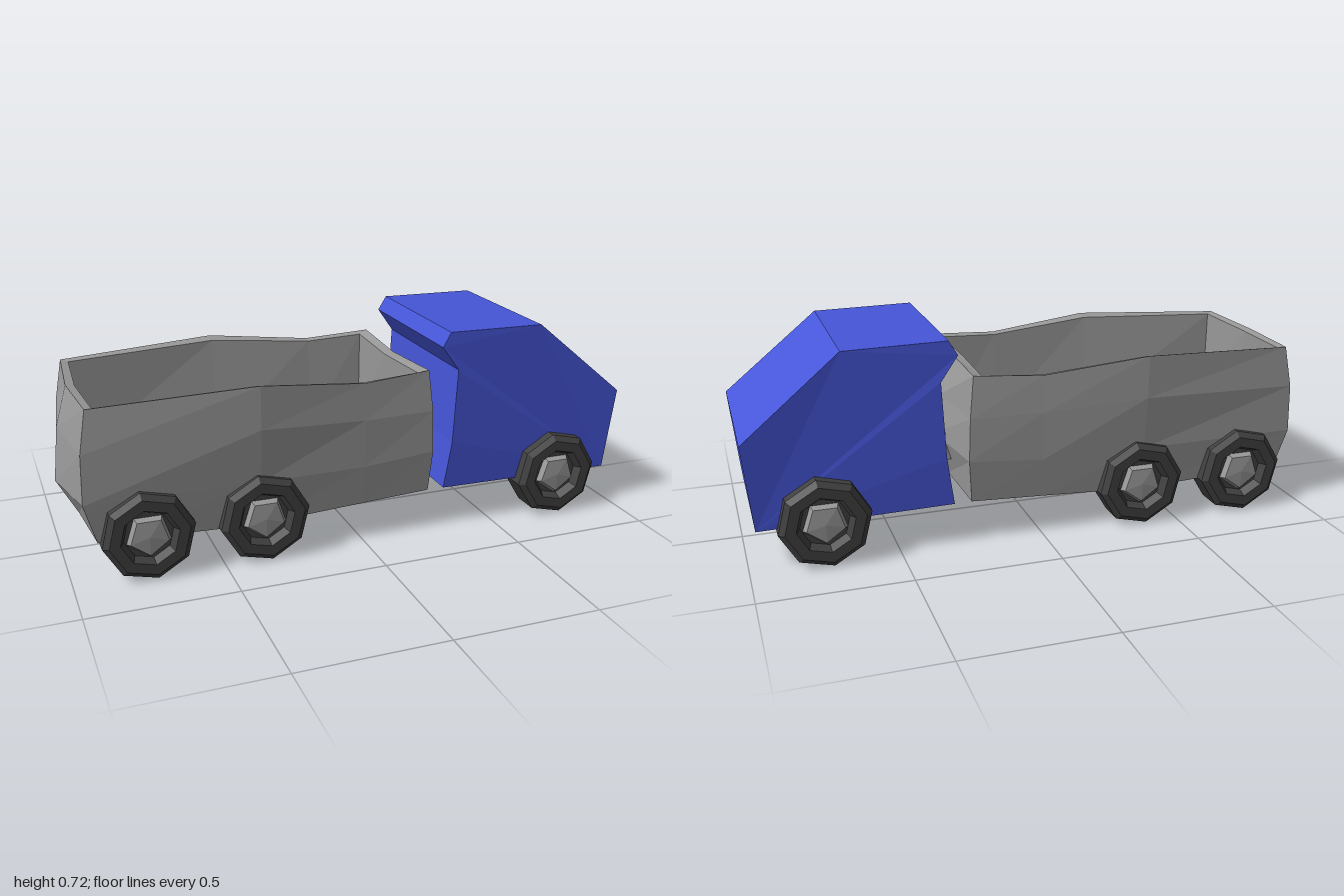
import * as THREE from 'three';

const mat = (color) => new THREE.MeshStandardMaterial({ color, flatShading: true });

function addMesh(parent, name, geometry, material) {
  const mesh = new THREE.Mesh(geometry, material);
  mesh.name = name;
  parent.add(mesh);
  return mesh;
}

// Skin a stack of closed rings and cap both ends
function loft(rings) {
  const n = rings[0].length;
  const pos = [];
  const tri = (...pts) => pts.forEach((p) => pos.push(p.x, p.y, p.z));
  const centre = (ring) =>
    ring.reduce((s, p) => s.add(p), new THREE.Vector3()).divideScalar(n);
  const bottom = rings[0], top = rings[rings.length - 1];
  const cb = centre(bottom), ct = centre(top);
  for (let i = 0; i < n; i++) {
    const k = (i + 1) % n;
    for (let j = 0; j < rings.length - 1; j++) {
      const lo = rings[j], hi = rings[j + 1];
      tri(lo[i], lo[k], hi[k]);
      tri(lo[i], hi[k], hi[i]);
    }
    tri(bottom[k], bottom[i], cb);
    tri(top[i], top[k], ct);
  }
  const g = new THREE.BufferGeometry();
  g.setAttribute('position', new THREE.Float32BufferAttribute(pos, 3));
  g.computeVertexNormals();
  return g;
}

// One level of the bed: x and z of corners and bulges, heights from rear to front
function bedRing([rear, rearMid, front, frontMid], [zc, zm, z0], [yr, ym, y0, yf, yrm, yfm]) {
  const side = [[rear, yr, zc], [-0.37, ym, zm], [0, y0, z0], [front, yf, zc]];
  const mirrored = side.map(([x, y, z]) => [x, y, -z]).reverse();
  return [...side, [frontMid, yfm, 0], ...mirrored, [rearMid, yrm, 0]]
    .map((p) => new THREE.Vector3(...p));
}

function buildBed() {
  return loft([
    bedRing([-0.91, -0.93, 0.25, 0.26], [0.28, 0.285, 0.285], [0.14, 0.12, 0.14, 0.15, 0.13, 0.15]),
    bedRing([-0.95, -1.0, 0.26, 0.31], [0.295, 0.305, 0.3], [0.28, 0.28, 0.28, 0.3, 0.26, 0.31]),
    bedRing([-0.945, -0.98, 0.255, 0.285], [0.295, 0.325, 0.305], [0.45, 0.47, 0.45, 0.45, 0.45, 0.45]),
    bedRing([-0.92, -0.94, 0.24, 0.23], [0.285, 0.325, 0.3], [0.595, 0.62, 0.58, 0.595, 0.59, 0.585]),
    // inner rim and floor
    bedRing([-0.895, -0.91, 0.205, 0.195], [0.265, 0.29, 0.275], [0.59, 0.61, 0.575, 0.585, 0.585, 0.58]),
    bedRing([-0.89, -0.92, 0.2, 0.21], [0.262, 0.265, 0.265], [0.24, 0.235, 0.24, 0.245, 0.24, 0.245]),
  ]);
}

function buildCab() {
  const profile = [[0.31, 0.15], [0.97, 0.14], [1.0, 0.44], [0.67, 0.715],
    [0.32, 0.72], [0.29, 0.67], [0.35, 0.585], [0.335, 0.32]];
  const shape = new THREE.Shape(profile.map((p) => new THREE.Vector2(...p)));
  const g = new THREE.ExtrudeGeometry(shape, { depth: 0.58, bevelEnabled: false });
  g.translate(0, 0, -0.29);
  // widest at the waist, narrower at floor and roof
  const p = g.attributes.position;
  for (let i = 0; i < p.count; i++) {
    const taper = 1.02 - 0.16 * Math.abs(p.getY(i) - 0.44);
    p.setZ(i, p.getZ(i) * taper);
  }
  g.computeVertexNormals();
  return g;
}

function lathe(points, sides) {
  const g = new THREE.LatheGeometry(points.map((p) => new THREE.Vector2(...p)), sides);
  return g.rotateX(Math.PI / 2);
}

export function createModel() {
  const truck = new THREE.Group();
  truck.name = 'dumpTruck';
  const blue = mat(0x4656d8), grey = mat(0x999999);
  const rubber = mat(0x404040);

  addMesh(truck, 'cab', buildCab(), blue);
  addMesh(truck, 'bed', buildBed(), grey);
  addMesh(truck, 'coupling', new THREE.BoxGeometry(0.09, 0.1, 0.2), grey).position.set(0.295, 0.29, 0);

  // Tyre with a recessed well, and a faceted hub inside it
  const tyre = lathe([[0, 0.193], [0.145, 0.193], [0.155, 0.22], [0.155, 0.318],
    [0.135, 0.335], [0.098, 0.335], [0.083, 0.305], [0, 0.305]], 8);
  const hub = lathe([[0.08, 0.3], [0.066, 0.325], [0, 0.33]], 5);

  for (const x of [-0.75, -0.36, 0.75]) {
    for (const side of [1, -1]) {
      const wheel = new THREE.Group();
      wheel.name = (x > 0 ? 'front' : 'rear') + 'Wheel';
      addMesh(wheel, 'tyre', tyre, rubber).rotation.z = 0.15;
      addMesh(wheel, 'hub', hub, grey);
      wheel.position.set(x, 0.155, 0);
      if (side < 0) wheel.rotation.y = Math.PI;
      truck.add(wheel);
    }
  }
  return truck;
}
